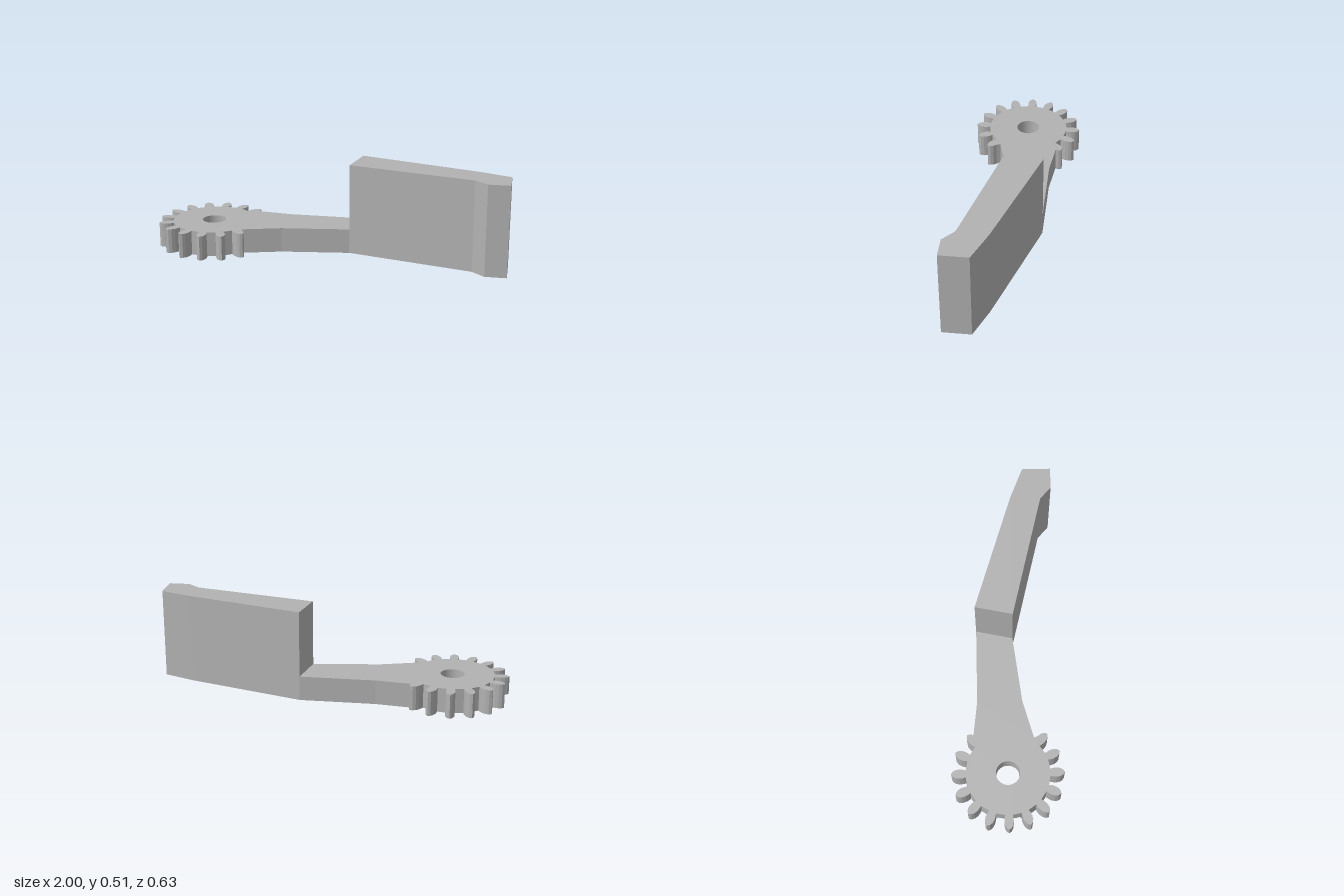
import * as THREE from 'three';

const GEAR_X = -0.685, HOLE_R = 0.067, SLOT = 0.064, SLOT_H = 0.037, PLATE_H = 0.14, SLAB_H = 0.515;
const grey = new THREE.MeshStandardMaterial({ color: 0xb2b2b2 });
grey.name = 'grey';

// Extrudes a plan outline of [x, z] points upwards from y0 to y1
function prism(name, points, y0, y1, hole) {
  const shape = new THREE.Shape(points.map(([x, z]) => new THREE.Vector2(x, -z)));
  if (hole) shape.holes.push(hole);
  const geo = new THREE.ExtrudeGeometry(shape, { depth: y1 - y0, bevelEnabled: false, curveSegments: 40 });
  geo.rotateX(-Math.PI / 2).translate(0, y0, 0);
  const mesh = new THREE.Mesh(geo, grey);
  mesh.name = name;
  return mesh;
}

// Rim of thirteen teeth, from the back of the arm round to its front
function gearRim() {
  const flank = [[0.235, 0.02], [0.25, 0.024], [0.27, 0.026], [0.29, 0.023], [0.306, 0.014]]; // radius, half width
  const tooth = [
    ...flank.map(([r, w]) => [r, -w]), [0.315, 0],
    ...flank.slice().reverse(),
  ];
  const rim = [];
  for (let i = 0; i < 13; i++) {
    const a = Math.PI / 4 + i * Math.PI / 8;
    let profile = tooth;
    if (i === 0) profile = tooth.slice(3); // flanks that merge into the arm
    if (i === 12) profile = tooth.slice(0, -2);
    for (const [r, w] of profile) {
      const t = a + w / r;
      rim.push([GEAR_X + r * Math.cos(t), -r * Math.sin(t)]);
    }
  }
  return rim;
}

export function createModel() {
  const group = new THREE.Group();
  group.name = 'gearedArm';

  const rim = gearRim();
  const armFront = [[-0.485, 0.15], [-0.27, 0.09], [0.11, 0.043]];
  const armBack = [[0.155, -0.165], [-0.27, -0.165]];

  // Upper layer of the gear and arm, with the round shaft hole
  const hole = new THREE.Path().absarc(GEAR_X, 0, HOLE_R, 0, Math.PI * 2, true);
  group.add(prism('gearArm', [...rim, ...armFront, ...armBack], SLOT_H, PLATE_H, hole));

  // Lower layer, split by the open groove along the underside
  const inSlot = ([x, z]) => x < GEAR_X && Math.abs(z) < SLOT;
  const first = rim.findIndex(inSlot);
  const before = rim.slice(0, first);
  const after = rim.slice(first).filter((p) => !inSlot(p));
  const groove = [[-0.91, -SLOT], [-0.2, -SLOT], [-0.2, SLOT], [-0.91, SLOT]];
  group.add(prism('groovedUnderside', [...before, ...groove, ...after, ...armFront, ...armBack], 0, SLOT_H));

  // Tall angled paddle with a small lip at its end
  group.add(prism('paddle', [
    [0.11, 0.043], [0.81, 0.215], [0.88, 0.277], [1, 0.277],
    [1, 0.117], [0.82, 0.045], [0.155, -0.165],
  ], 0, SLAB_H));

  return group;
}
